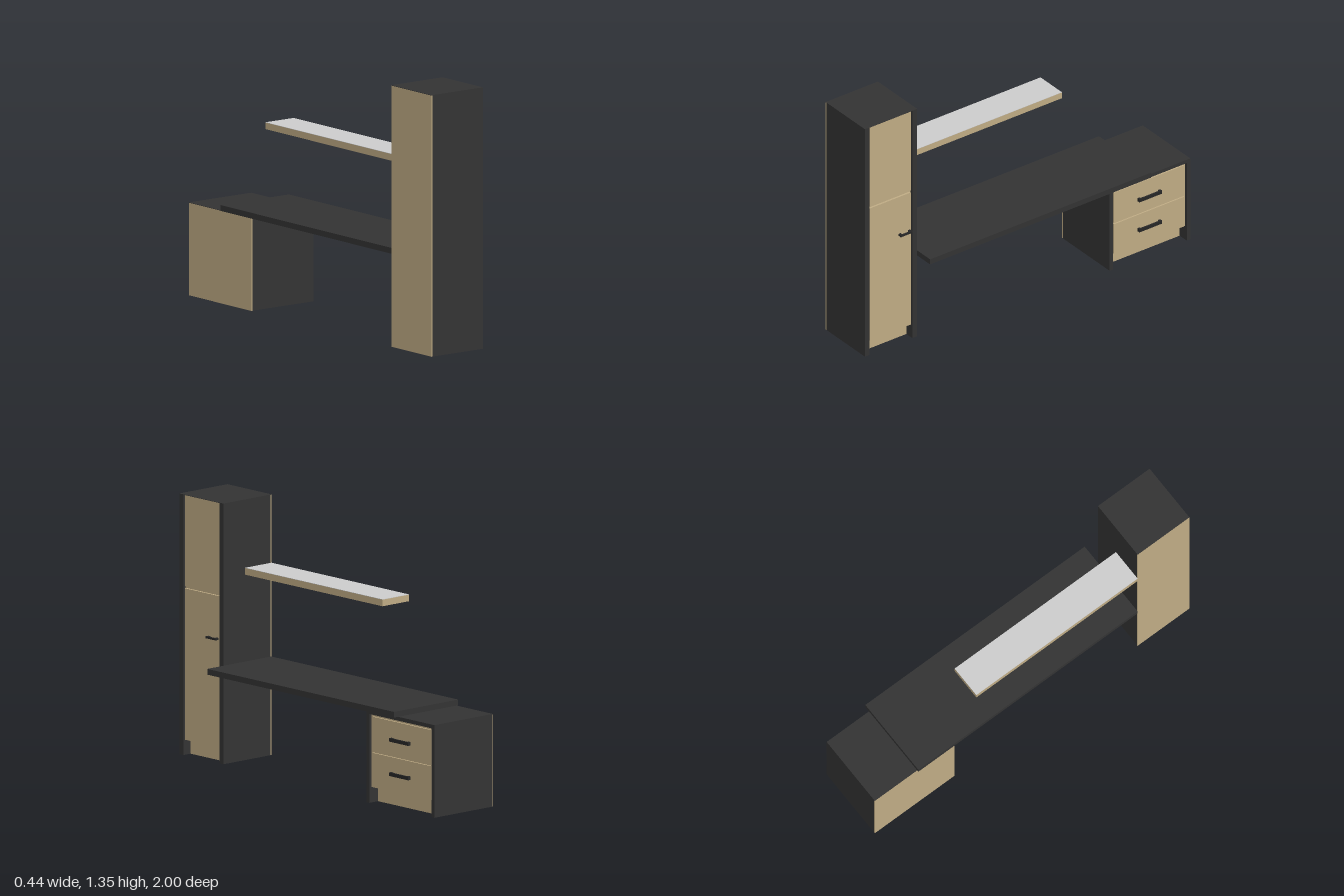
import * as THREE from 'three';

const mat = (color) => new THREE.MeshStandardMaterial({ color });

export function createModel() {
  const model = new THREE.Group();
  const dark = mat(0x333333);
  const wood = mat(0xbfab84);
  const black = mat(0x262626);
  const grey = mat(0xcccccc);

  // Box given by its extents on each axis
  function box(parent, name, material, [x0, x1], [y0, y1], [z0, z1]) {
    const mesh = new THREE.Mesh(new THREE.BoxGeometry(x1 - x0, y1 - y0, z1 - z0), material);
    mesh.position.set((x0 + x1) / 2, (y0 + y1) / 2, (z0 + z1) / 2);
    mesh.name = name;
    parent.add(mesh);
    return mesh;
  }

  // Bar handle standing off a front on two posts
  function handle(parent, name, face, out, y, height, [z0, z1]) {
    const group = new THREE.Group();
    group.name = name;
    box(group, 'bar', black, [out - 0.009, out], [y - height / 2, y + height / 2], [z0, z1]);
    for (const z of [z0 + 0.008, z1 - 0.008]) {
      box(group, 'post', black, [face, out - 0.009], [y - height / 2, y + height / 2], [z - 0.007, z + 0.007]);
    }
    parent.add(group);
  }

  // Carcass shared by both units: its fronts face +x, above a recessed plinth
  function carcass(name, [x0, x1], height, [z0, z1], side, recess, topThickness) {
    const group = new THREE.Group();
    group.name = name;
    const inner = [z0 + side, z1 - side];
    const back = x0 + 0.006;
    const top = height - topThickness;
    box(group, 'backPanel', wood, [x0, back], [0, height - 0.002], [z0, z1]);
    box(group, 'sidePanel', dark, [back, x1], [0, height - 0.002], [z0, z0 + side]);
    box(group, 'sidePanel', dark, [back, x1], [0, height - 0.002], [z1 - side, z1]);
    box(group, 'body', wood, [back, x1 - 0.016], [0.08, top], inner);
    box(group, 'plinth', wood, [back, x1 - recess], [0, 0.08], inner);
    model.add(group);
    return group;
  }

  // Tall cabinet with two doors
  const cabinet = carcass('tallCabinet', [-0.22, 0.11], 1.35, [0.67, 1], 0.03, 0.05, 0.002);
  box(cabinet, 'topPanel', dark, [-0.22, 0.11], [1.348, 1.35], [0.67, 1]);
  for (const [name, y] of [['lowerDoor', [0.08, 0.864]], ['upperDoor', [0.876, 1.348]]]) {
    box(cabinet, name, wood, [0.094, 0.105], y, [0.706, 0.964]);
  }
  handle(cabinet, 'doorHandle', 0.105, 0.127, 0.642, 0.01, [0.71, 0.785]);

  // Low unit with two drawers
  const drawers = carcass('drawerUnit', [-0.21, 0.19], 0.48, [-1, -0.49], 0.022, 0.06, 0.02);
  box(drawers, 'topPanel', dark, [-0.204, 0.19], [0.46, 0.478], [-0.978, -0.512]);
  box(drawers, 'topSheet', dark, [-0.21, 0.19], [0.478, 0.48], [-1, -0.49]);
  for (const [y, handleY] of [[[0.085, 0.261], 0.175], [[0.267, 0.448], 0.353]]) {
    box(drawers, 'drawerFront', wood, [0.174, 0.183], y, [-0.967, -0.523]);
    handle(drawers, 'drawerHandle', 0.183, 0.2, handleY, 0.018, [-0.815, -0.67]);
  }

  // Desktop resting on the drawers and meeting the cabinet
  box(model, 'desktop', dark, [-0.22, 0.22], [0.48, 0.51], [-0.73, 0.67]);

  // Wall shelf with a light top
  box(model, 'shelf', wood, [-0.22, -0.04], [0.96, 0.994], [-0.36, 0.67]);
  box(model, 'shelfTop', grey, [-0.22, -0.04], [0.994, 0.996], [-0.36, 0.67]);

  return model;
}
